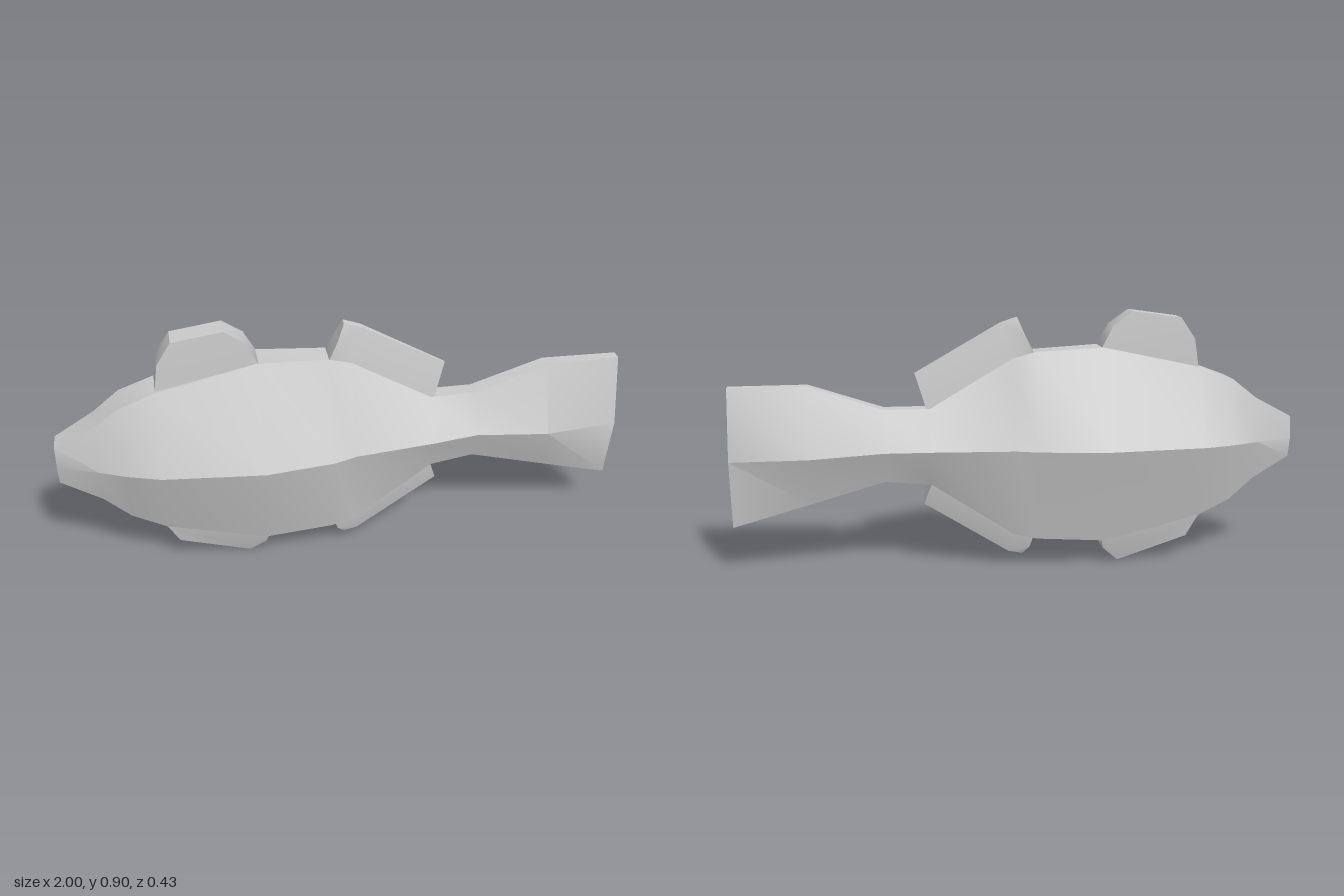
import * as THREE from 'three';
import { toCreasedNormals } from 'three/addons/utils/BufferGeometryUtils.js';

const material = new THREE.MeshStandardMaterial({ color: 0xcccccc });

function makeMesh(name, positions, index) {
  const geo = new THREE.BufferGeometry();
  geo.setAttribute('position', new THREE.Float32BufferAttribute(positions.flat(), 3));
  geo.setIndex(index);
  const mesh = new THREE.Mesh(toCreasedNormals(geo, 0.5), material);
  mesh.name = name;
  return mesh;
}

// Skin a row of equal-sized rings running along +x and cap both ends
function loft(name, rings) {
  const n = rings[0].length, index = [], last = (rings.length - 1) * n;
  for (let i = 0; i < rings.length - 1; i++) {
    for (let j = 0; j < n; j++) {
      const a = i * n + j, b = i * n + (j + 1) % n;
      index.push(a, a + n, b, b, a + n, b + n);
    }
  }
  for (let j = 1; j < n - 1; j++) {
    index.push(0, j, j + 1, last, last + j + 1, last + j);
  }
  return makeMesh(name, rings.flat(), index);
}

// Mirrored slab from a counter-clockwise side outline of [x, y, half width]
function fin(name, outline) {
  const n = outline.length, index = [];
  const back = outline.map(([x, y, w]) => [x, y, -w]);
  const flat = outline.map(([x, y]) => new THREE.Vector2(x, y));
  for (const [a, b, c] of THREE.ShapeUtils.triangulateShape(flat, [])) {
    index.push(a, b, c, n + a, n + c, n + b);
  }
  for (let i = 0; i < n; i++) {
    const j = (i + 1) % n;
    index.push(i, n + i, j, j, n + i, n + j);
  }
  return makeMesh(name, [...outline, ...back], index);
}

export function createModel() {
  const group = new THREE.Group();
  group.name = 'fish';

  // Body and tail: x, top y, ridge y, bottom y, then half widths at top, ridge, bottom
  const stations = [
    [-1.00, 0.51, 0.43, 0.36, 0.035, 0.045, 0.03],
    [-0.86, 0.585, 0.43, 0.285, 0.055, 0.095, 0.05],
    [-0.77, 0.655, 0.43, 0.215, 0.062, 0.135, 0.07],
    [-0.65, 0.70, 0.432, 0.165, 0.06, 0.177, 0.09],
    [-0.30, 0.775, 0.434, 0.09, 0.05, 0.215, 0.115],
    [-0.06, 0.762, 0.436, 0.105, 0.043, 0.19, 0.11],
    [0.02, 0.74, 0.436, 0.12, 0.04, 0.163, 0.1],
    [0.31, 0.567, 0.432, 0.305, 0.03, 0.125, 0.07],
    [0.47, 0.567, 0.425, 0.315, 0.03, 0.09, 0.05],
    [0.73, 0.653, 0.415, 0.24, 0.027, 0.112, 0.042],
    [1.00, 0.653, 0.405, 0.163, 0.018, 0.071, 0.034],
  ];
  group.add(loft('body', stations.map(([x, t, m, b, wt, wm, wb]) => [
    [x, t, wt], [x, t, -wt], [x, m, -wm], [x, b, -wb], [x, b, wb], [x, m, wm],
  ])));

  // Fins along the back
  group.add(fin('frontDorsalFin', [
    [-0.645, 0.66, 0.05], [-0.295, 0.74, 0.05], [-0.295, 0.775, 0.05],
    [-0.335, 0.85, 0.045], [-0.405, 0.90, 0.041], [-0.58, 0.875, 0.042],
    [-0.63, 0.80, 0.047], [-0.645, 0.70, 0.05],
  ]));
  group.add(fin('rearDorsalFin', [
    [-0.06, 0.72, 0.042], [0.02, 0.70, 0.042], [0.315, 0.55, 0.03],
    [0.325, 0.575, 0.028], [0.36, 0.69, 0.005], [0.06, 0.86, 0.014],
    [0.00, 0.88, 0.016], [-0.025, 0.82, 0.034], [-0.055, 0.76, 0.043],
  ]));

  // Fins along the belly
  group.add(fin('frontBellyFin', [
    [-0.65, 0.165, 0.09], [-0.61, 0.085, 0.075], [-0.36, 0, 0.065],
    [-0.30, 0.055, 0.095], [-0.29, 0.095, 0.113], [-0.30, 0.13, 0.112],
  ]));
  group.add(fin('rearBellyFin', [
    [-0.05, 0.115, 0.09], [-0.035, 0.07, 0.086], [-0.01, 0.04, 0.067],
    [0.04, 0.05, 0.066], [0.335, 0.23, 0.045], [0.31, 0.305, 0.068],
    [0.29, 0.32, 0.07], [0.02, 0.15, 0.092],
  ]));

  return group;
}
